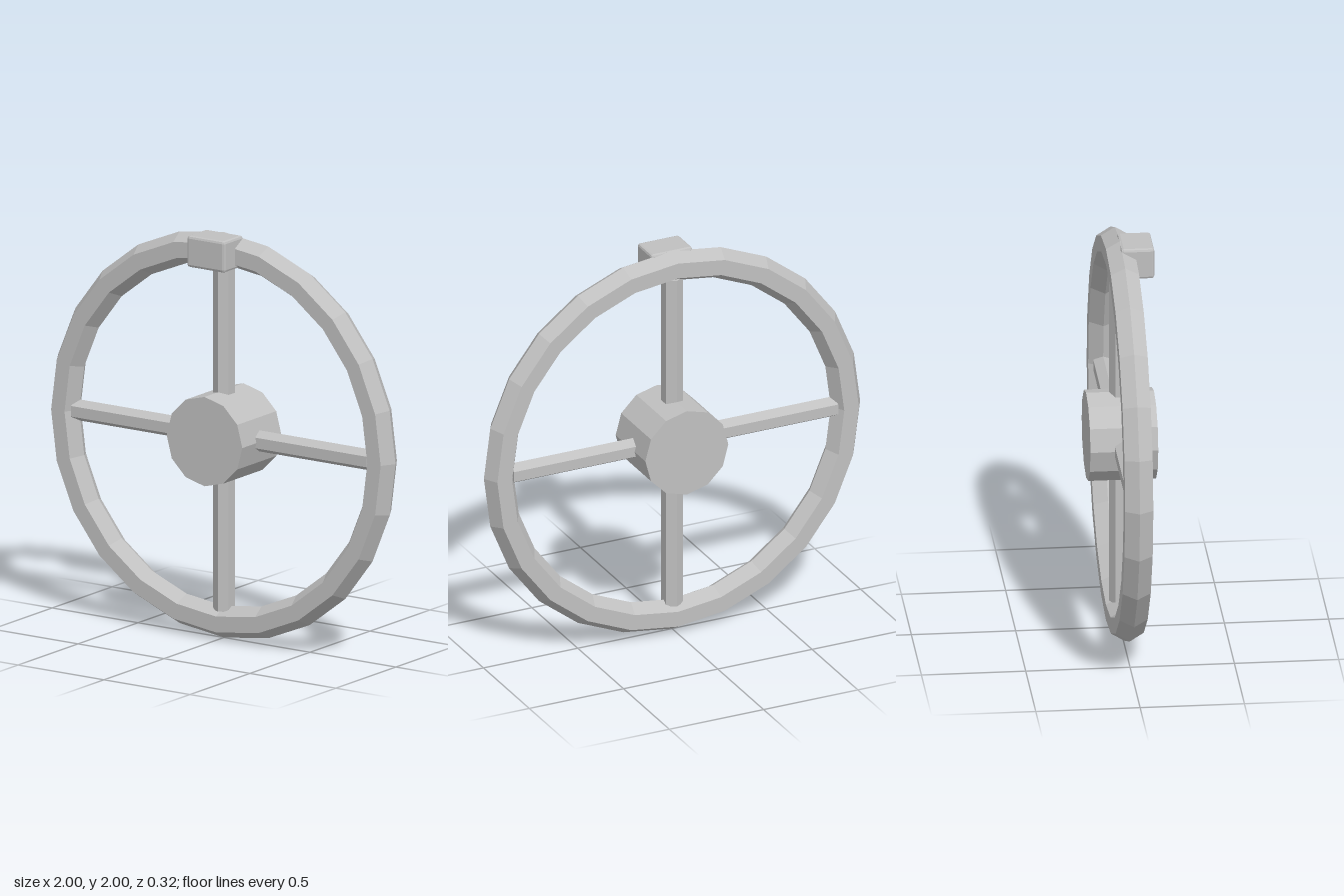
import * as THREE from 'three';
import { RoundedBoxGeometry } from 'three/addons/geometries/RoundedBoxGeometry.js';

export function createModel() {
  const model = new THREE.Group();
  model.name = 'handwheel';
  const grey = new THREE.MeshStandardMaterial({ color: 0xc0c0c0, flatShading: true });
  grey.name = 'plain grey';

  const add = (name, geometry, y = 1, z = 0) => {
    const mesh = new THREE.Mesh(geometry, grey);
    mesh.name = name;
    mesh.position.set(0, y, z);
    model.add(mesh);
    return mesh;
  };

  // Hexagonal-section rim
  add('rim', new THREE.TorusGeometry(0.92, 0.078, 6, 24));

  // Twelve-sided hub, axis along z
  add('hub', new THREE.CylinderGeometry(0.22, 0.22, 0.325, 12).rotateX(Math.PI / 2));

  // Crossing hexagonal spokes, running into the rim
  const spoke = () => new THREE.CylinderGeometry(0.052, 0.052, 1.72, 6);
  add('verticalSpoke', spoke());
  add('horizontalSpoke', spoke().rotateY(Math.PI / 2).rotateZ(Math.PI / 2));

  // Chamfered block on the front of the rim at the top
  add('gripBlock', new RoundedBoxGeometry(0.22, 0.155, 0.16, 1, 0.013), 1.919, 0.075);

  return model;
}
